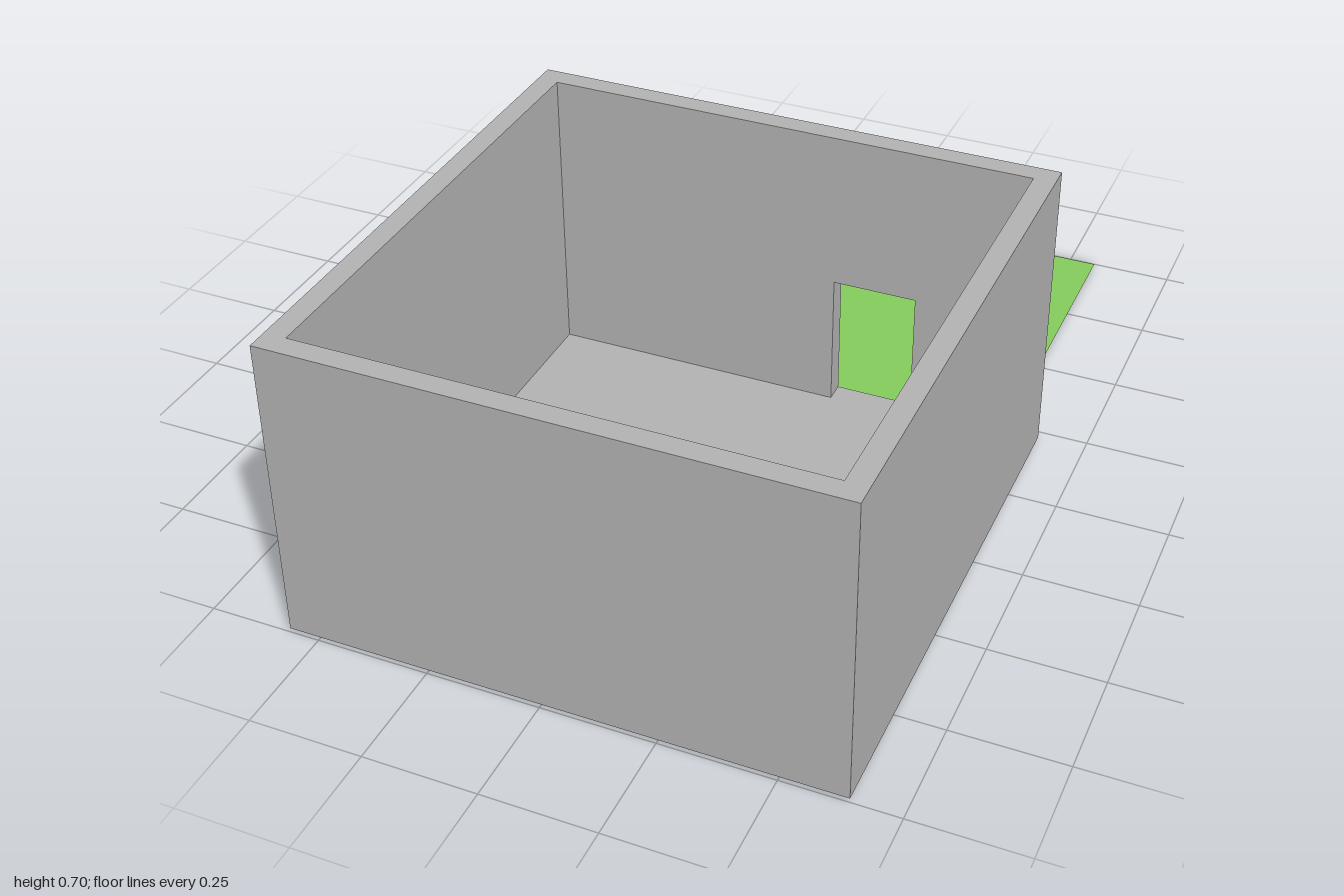
import * as THREE from 'three';

const grey = new THREE.MeshStandardMaterial({ color: 0xb2b2b2 });
grey.name = 'plain grey';
const green = new THREE.MeshStandardMaterial({ color: 0x84cb5c, side: THREE.DoubleSide });
green.name = 'grass green';

function add(parent, name, geometry, x, y, z, material = grey) {
  const mesh = new THREE.Mesh(geometry, material);
  mesh.name = name;
  mesh.position.set(x, y, z);
  parent.add(mesh);
  return mesh;
}

// Box given by its lower and upper corners
function block(parent, name, x0, x1, y0, y1, z0, z1) {
  add(parent, name, new THREE.BoxGeometry(x1 - x0, y1 - y0, z1 - z0),
    (x0 + x1) / 2, (y0 + y1) / 2, (z0 + z1) / 2);
}

// Rounded limb between two points
function limb(parent, name, a, b, r0, r1) {
  const from = new THREE.Vector3(...a), to = new THREE.Vector3(...b);
  const dir = to.clone().sub(from);
  const mid = from.clone().add(to).multiplyScalar(0.5);
  const mesh = add(parent, name, new THREE.CylinderGeometry(r1, r0, dir.length(), 16), mid.x, mid.y, mid.z);
  mesh.quaternion.setFromUnitVectors(new THREE.Vector3(0, 1, 0), dir.normalize());
}

function ball(parent, name, x, y, z, rx, ry, rz) {
  add(parent, name, new THREE.SphereGeometry(1, 20, 14), x, y, z).scale.set(rx, ry, rz);
}

function createHouse() {
  const house = new THREE.Group();
  house.name = 'house';
  const [x0, x1, y0, y1, z0, z1, t] = [-0.565, 0.645, 0.01, 0.702, -0.215, 1, 0.048];
  block(house, 'floor', x0 + t, x1 - t, 0.001, 0.018, z0 + t, z1 - t);
  block(house, 'frontWall', x0, x1, y0, y1, z1 - t, z1);
  block(house, 'rightWall', x0, x0 + t, y0, y1, z0 + t, z1 - t);
  block(house, 'leftWall', x1 - t, x1, y0, y1, z0 + t, z1 - t);

  // Back wall with doorway
  const wall = new THREE.Shape([[x0, y0], [x1, y0], [x1, y1], [x0, y1]].map(p => new THREE.Vector2(...p)));
  wall.holes.push(new THREE.Path([[0.16, 0.018], [0.16, 0.335], [0.352, 0.335], [0.352, 0.018]]
    .map(p => new THREE.Vector2(...p))));
  add(house, 'backWall', new THREE.ExtrudeGeometry(wall, { depth: t, bevelEnabled: false }), 0, 0, z0);
  return house;
}

function createPerson() {
  const person = new THREE.Group();
  person.name = 'person';
  // Head with a brim across the brow
  ball(person, 'head', 0, 0.183, 0, 0.025, 0.026, 0.025);
  const brim = add(person, 'headBand', new THREE.TorusGeometry(0.0245, 0.002, 8, 24), 0, 0.188, 0);
  brim.rotation.x = Math.PI / 2;
  limb(person, 'neck', [0, 0.135, 0], [0, 0.165, 0], 0.011, 0.01);

  // Torso and hips
  const profile = [[0, 0.072], [0.024, 0.074], [0.029, 0.085], [0.025, 0.105], [0.031, 0.13], [0.026, 0.143], [0, 0.148]]
    .map(p => new THREE.Vector2(...p));
  add(person, 'torso', new THREE.LatheGeometry(profile, 24), 0, 0, 0).scale.z = 0.72;

  for (const s of [-1, 1]) {
    // Outstretched arms with hands and thumbs
    ball(person, 'shoulder', s * 0.03, 0.134, 0, 0.014, 0.012, 0.013);
    limb(person, 'upperArm', [s * 0.03, 0.134, 0], [s * 0.065, 0.131, 0], 0.012, 0.01);
    limb(person, 'forearm', [s * 0.065, 0.131, 0], [s * 0.098, 0.128, 0], 0.01, 0.007);
    ball(person, 'hand', s * 0.104, 0.128, 0, 0.013, 0.006, 0.008);
    ball(person, 'thumb', s * 0.101, 0.128, -0.01, 0.004, 0.004, 0.009);
    // Legs and forward-pointing shoes
    limb(person, 'thigh', [s * 0.015, 0.085, 0], [s * 0.017, 0.05, 0], 0.017, 0.016);
    limb(person, 'shin', [s * 0.017, 0.05, 0], [s * 0.017, 0.015, 0.004], 0.016, 0.012);
    ball(person, 'shoe', s * 0.017, 0.013, -0.009, 0.013, 0.01, 0.024);
  }
  person.position.set(-0.045, 0.003, -0.397);
  return person;
}

export function createModel() {
  const model = new THREE.Group();
  model.name = 'houseWithLawn';
  const lawn = add(model, 'lawn', new THREE.PlaneGeometry(1.21, 1.213), -0.043, 0, -0.3935, green);
  lawn.rotation.x = -Math.PI / 2;
  model.add(createHouse(), createPerson());
  return model;
}
